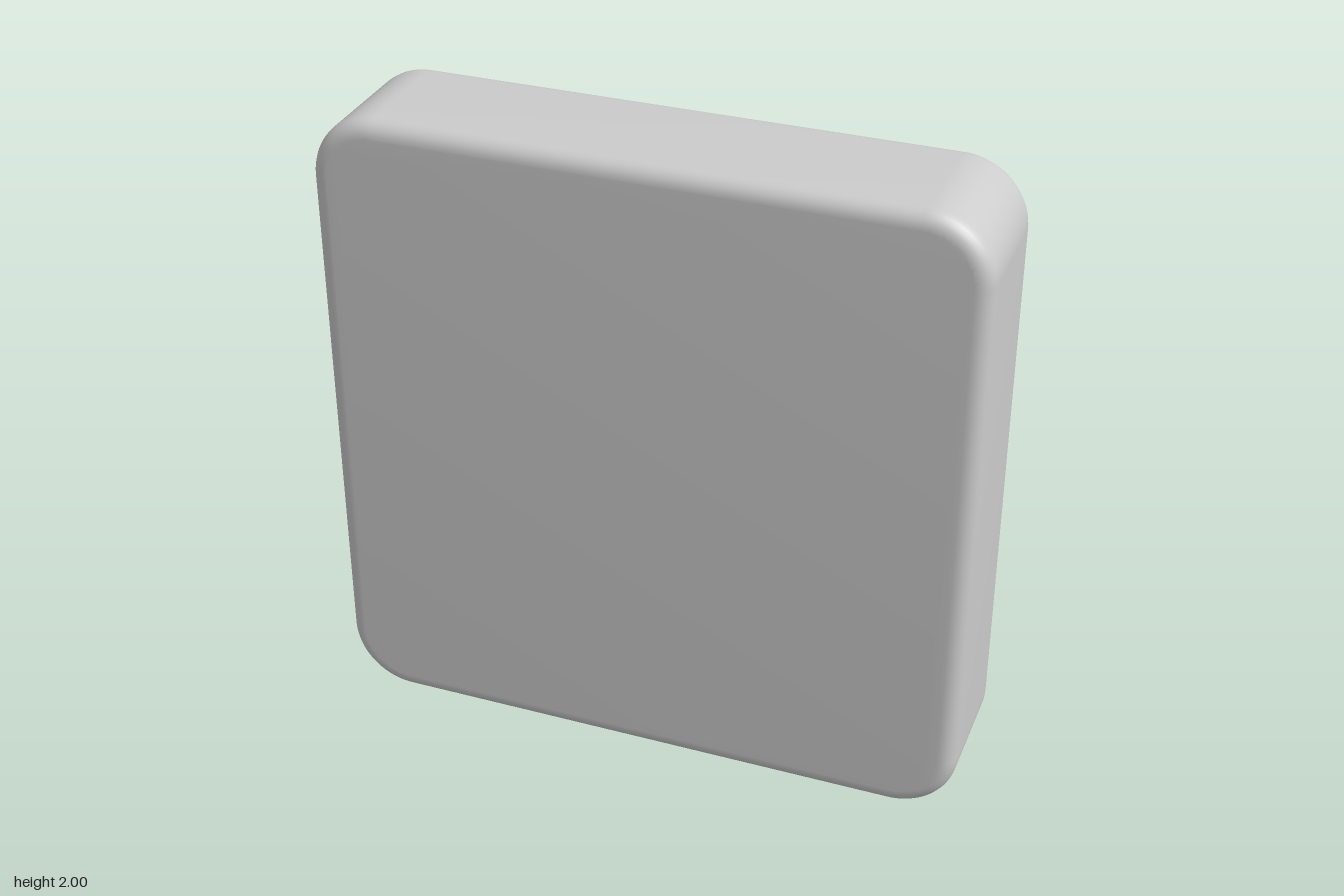
import * as THREE from 'three';
import { toCreasedNormals } from 'three/addons/utils/BufferGeometryUtils.js';

const BACK = -0.16, FRONT = 0.28, BEVEL = 0.05;

// Rounded square slab with softened edges
function slabGeometry() {
  const h = 1 - BEVEL, r = 0.2 - BEVEL;
  const s = new THREE.Shape();
  s.moveTo(h, -h + r);
  s.absarc(h - r, h - r, r, 0, Math.PI / 2);
  s.absarc(-h + r, h - r, r, Math.PI / 2, Math.PI);
  s.absarc(-h + r, -h + r, r, Math.PI, Math.PI * 1.5);
  s.absarc(h - r, -h + r, r, Math.PI * 1.5, Math.PI * 2);
  const g = new THREE.ExtrudeGeometry(s, {
    depth: FRONT - BACK - 2 * BEVEL, curveSegments: 12,
    bevelThickness: BEVEL, bevelSize: BEVEL, bevelSegments: 6,
  });
  g.translate(0, 1, BACK + BEVEL);
  return toCreasedNormals(g, 0.6);
}

// Dome with a flared foot; its crown leans along y by the given amount
function knobGeometry(lean) {
  const profile = new THREE.SplineCurve([
    [0.128, -0.003], [0.115, 0.008], [0.109, 0.025], [0.1, 0.06],
    [0.085, 0.09], [0.06, 0.111], [0.03, 0.119], [0, 0.12],
  ].map(([x, y]) => new THREE.Vector2(x, y))).getPoints(20);
  profile[profile.length - 1].x = 0;
  const g = new THREE.LatheGeometry(profile, 32);
  g.rotateX(-Math.PI / 2);
  const p = g.attributes.position;
  for (let i = 0; i < p.count; i++) {
    p.setY(i, p.getY(i) + lean * Math.max(0, -p.getZ(i)) / 0.12);
  }
  return g;
}

export function createModel() {
  const model = new THREE.Group();
  const material = new THREE.MeshStandardMaterial({ color: 0xcccccc });

  const slab = new THREE.Mesh(slabGeometry(), material);
  slab.name = 'slab';
  model.add(slab);

  // Six by six knobs on the back, each pair of rows leaning together
  const columns = [-0.83, -0.51, -0.16, 0.155, 0.495, 0.81];
  const rows = [0.18, 0.5, 0.845, 1.16, 1.51, 1.83];
  const shapes = [knobGeometry(0.018), knobGeometry(-0.018)];
  const knobs = new THREE.Group();
  knobs.name = 'knobs';
  rows.forEach((y, j) => columns.forEach((x) => {
    const knob = new THREE.Mesh(shapes[j % 2], material);
    knob.name = 'knob';
    knob.position.set(x, y, BACK);
    knobs.add(knob);
  }));
  model.add(knobs);
  return model;
}
